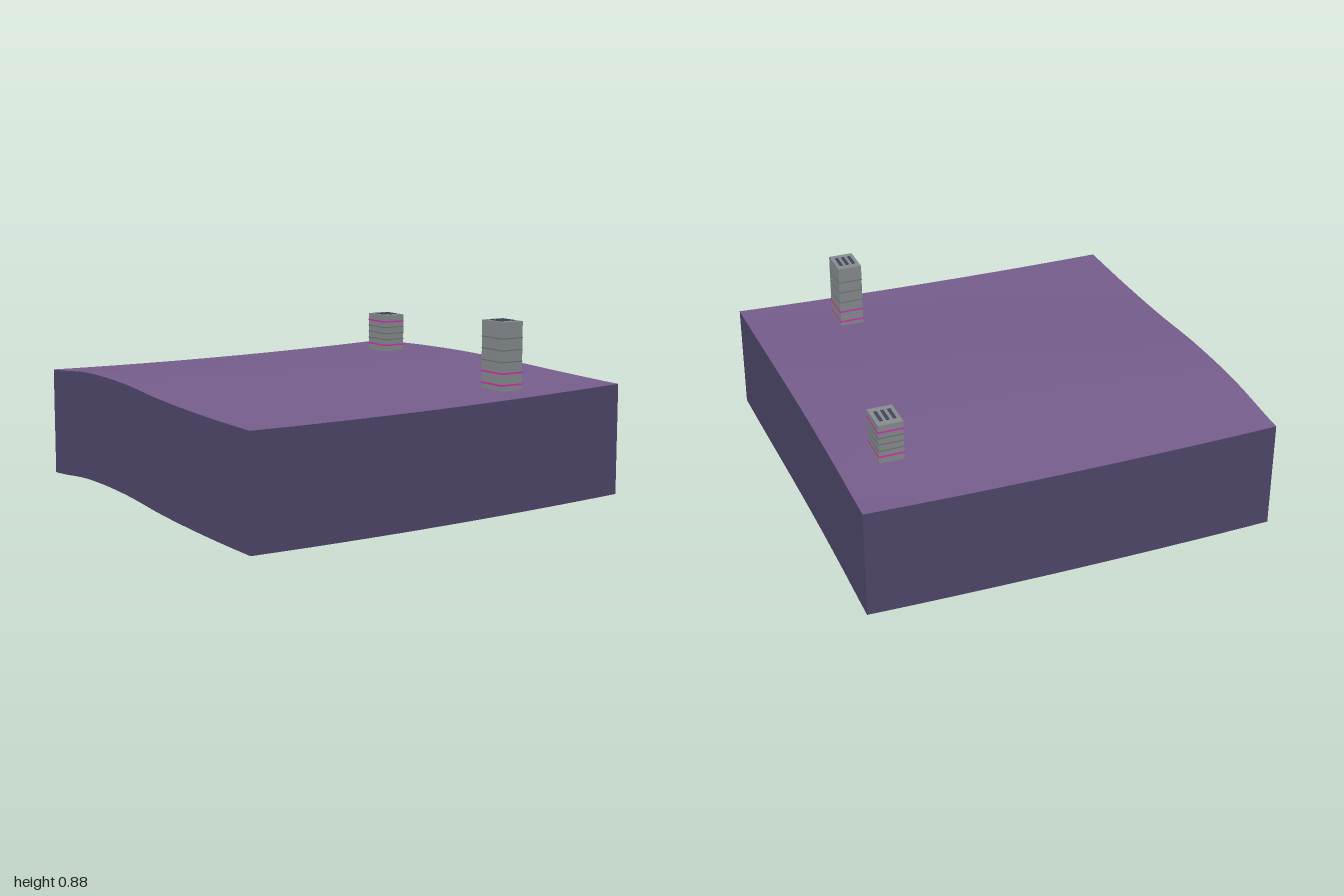
import * as THREE from 'three';

const material = (name, color, side = THREE.FrontSide) => {
  const m = new THREE.MeshStandardMaterial({ color, side });
  m.name = name;
  return m;
};

// Ground heights: three rows (x = -1, 0, 1), six knots each from z = -1 to z = 1
const ROWS = [
  [0.557, 0.588, 0.585, 0.557, 0.541, 0.535],
  [0.555, 0.578, 0.587, 0.577, 0.555, 0.543],
  [0.580, 0.594, 0.600, 0.594, 0.583, 0.575],
];
const DEPTH = 0.53;
const SEGMENTS = 32;
const curves = ROWS.map((row) => new THREE.SplineCurve(
  row.map((h, i) => new THREE.Vector2(-1 + i * 0.4, h))));

function groundHeight(x, z) {
  const [a, b, c] = curves.map((curve) => curve.getPoint((z + 1) / 2).y);
  return a * x * (x - 1) / 2 + b * (1 - x * x) + c * x * (x + 1) / 2;
}

// Rolling surface
function makeGround(mat) {
  const geo = new THREE.PlaneGeometry(2, 2, SEGMENTS, SEGMENTS).rotateX(-Math.PI / 2);
  const p = geo.attributes.position;
  for (let i = 0; i < p.count; i++) p.setY(i, groundHeight(p.getX(i), p.getZ(i)));
  geo.computeVertexNormals();
  const mesh = new THREE.Mesh(geo, mat);
  mesh.name = 'ground';
  return mesh;
}

// Skirt wall whose top and bottom edges both follow the ground
function makeWall(name, angle, mat) {
  const geo = new THREE.PlaneGeometry(2, DEPTH, SEGMENTS, 1);
  geo.translate(0, -DEPTH / 2, 1).rotateY(angle);
  const p = geo.attributes.position;
  for (let i = 0; i < p.count; i++) {
    const x = THREE.MathUtils.clamp(p.getX(i), -1, 1);
    const z = THREE.MathUtils.clamp(p.getZ(i), -1, 1);
    p.setY(i, p.getY(i) + groundHeight(x, z));
  }
  geo.computeVertexNormals();
  const mesh = new THREE.Mesh(geo, mat);
  mesh.name = name;
  return mesh;
}

// Tower with floor bands, lit bands and three roof vents
function makeTower(name, { x, z, top, floors, lights }, mats) {
  const W = 0.118, D = 0.155;
  const tower = new THREE.Group();
  tower.name = name;
  tower.position.set(x, 0, z);
  const box = (part, w, h, d, px, py, mat) => {
    const mesh = new THREE.Mesh(new THREE.BoxGeometry(w, h, d), mat);
    mesh.name = part;
    mesh.position.set(px, py, 0);
    tower.add(mesh);
  };
  const base = groundHeight(x, z) - 0.004;
  box('towerBody', W, top - base, D, 0, (top + base) / 2, mats.concrete);
  for (const y of floors) box('floorBand', W + 0.002, 0.005, D + 0.002, 0, y, mats.seam);
  for (const y of lights) box('lightBand', W + 0.003, 0.008, D + 0.003, 0, y, mats.light);
  for (const i of [-1, 0, 1]) box('roofVent', 0.015, 0.005, 0.085, i * 0.032, top + 0.001, mats.vent);
  return tower;
}

export function createModel() {
  const mats = {
    ground: material('purple ground', 0x775e8d, THREE.DoubleSide),
    wall: material('dark violet wall', 0x50486c, THREE.DoubleSide),
    concrete: material('grey concrete', 0x888d90),
    seam: material('dark grey seam', 0x6c7276),
    light: material('magenta light', 0xd030b0),
    vent: material('dark vent', 0x44465c),
  };
  const model = new THREE.Group();
  model.name = 'terrainTile';
  model.add(makeGround(mats.ground));
  ['frontWall', 'leftWall', 'backWall', 'rightWall'].forEach((name, i) =>
    model.add(makeWall(name, i * Math.PI / 2, mats.wall)));

  model.add(makeTower('tallTower', {
    x: 0.5, z: 0.75, top: 0.882,
    floors: [0.695, 0.75, 0.805], lights: [0.587, 0.642],
  }, mats));
  model.add(makeTower('shortTower', {
    x: 0.75, z: -0.582, top: 0.78,
    floors: [0.65, 0.683, 0.715], lights: [0.62, 0.745],
  }, mats));
  return model;
}
